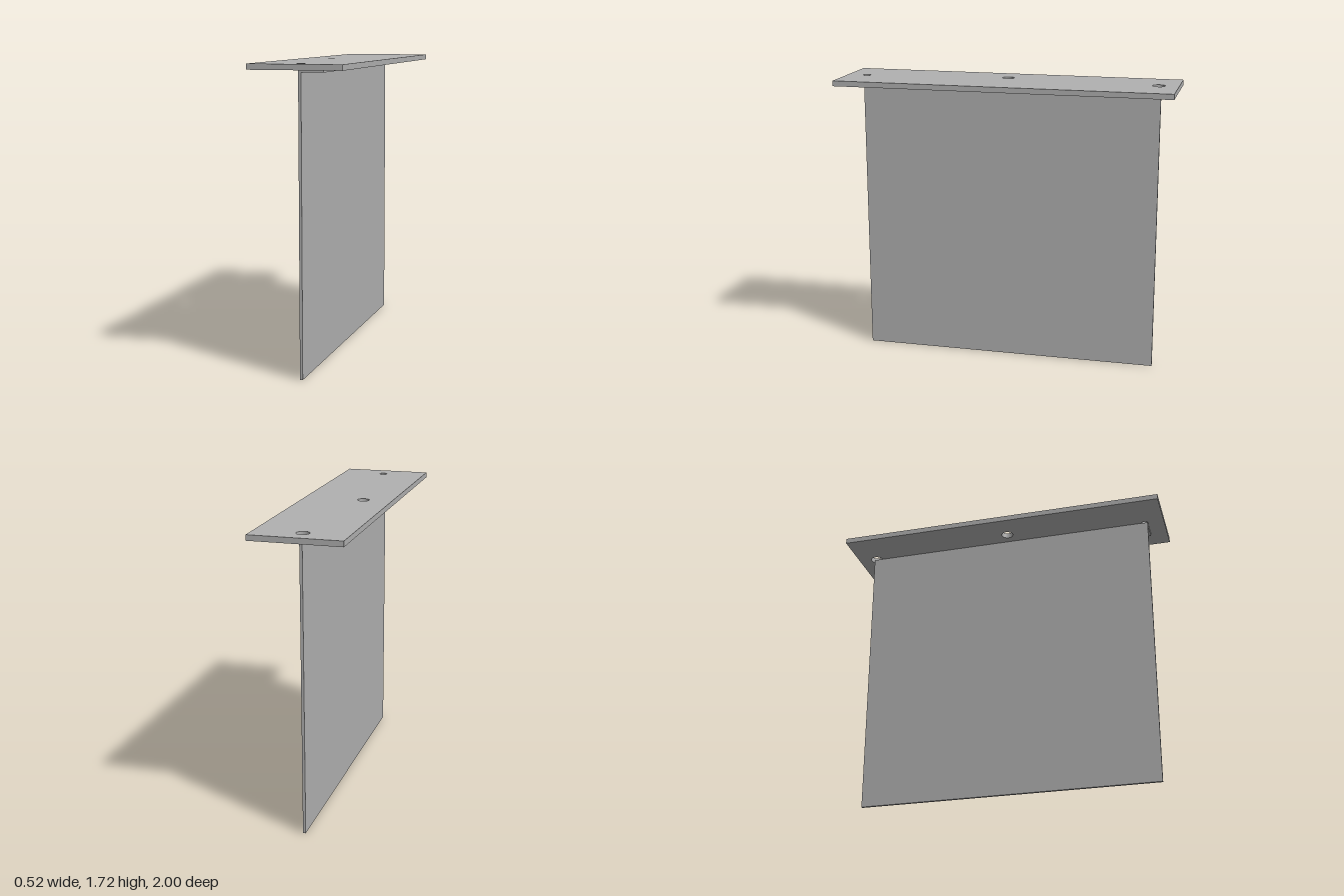
import * as THREE from 'three';

export function createModel() {
  const group = new THREE.Group();
  group.name = 'mountingPanel';
  const grey = new THREE.MeshStandardMaterial({ color: 0xb0b0b0 });
  grey.name = 'plain grey';

  // Top plate with three drilled holes: [x, z, radius]
  const holes = [[-0.01, -0.885, 0.037], [-0.092, 0.022, 0.035], [0, 0.88, 0.023]];
  const outline = new THREE.Shape([
    new THREE.Vector2(-0.262, -1), new THREE.Vector2(0.262, -1),
    new THREE.Vector2(0.262, 1), new THREE.Vector2(-0.262, 1),
  ]);
  for (const [x, z, r] of holes) {
    outline.holes.push(new THREE.Path().absarc(x, -z, r, 0, Math.PI * 2, true));
  }
  const plateGeometry = new THREE.ExtrudeGeometry(outline, {
    depth: 0.032, bevelEnabled: false, curveSegments: 32,
  });
  plateGeometry.rotateX(-Math.PI / 2);
  const plate = new THREE.Mesh(plateGeometry, grey);
  plate.name = 'topPlate';
  plate.position.y = 1.688;
  group.add(plate);

  // Folded sheet: hanging panel and the flange under the plate, as one L profile
  const profile = new THREE.Shape([
    [-0.01, 0], [0.006, 0], [0.006, 1.673], [0.13, 1.673], [0.13, 1.688], [-0.01, 1.688],
  ].map(([x, y]) => new THREE.Vector2(x, y)));
  const sheet = new THREE.Mesh(
    new THREE.ExtrudeGeometry(profile, { depth: 1.8, bevelEnabled: false }), grey);
  sheet.name = 'foldedSheet';
  sheet.position.z = -0.9;
  group.add(sheet);

  return group;
}
